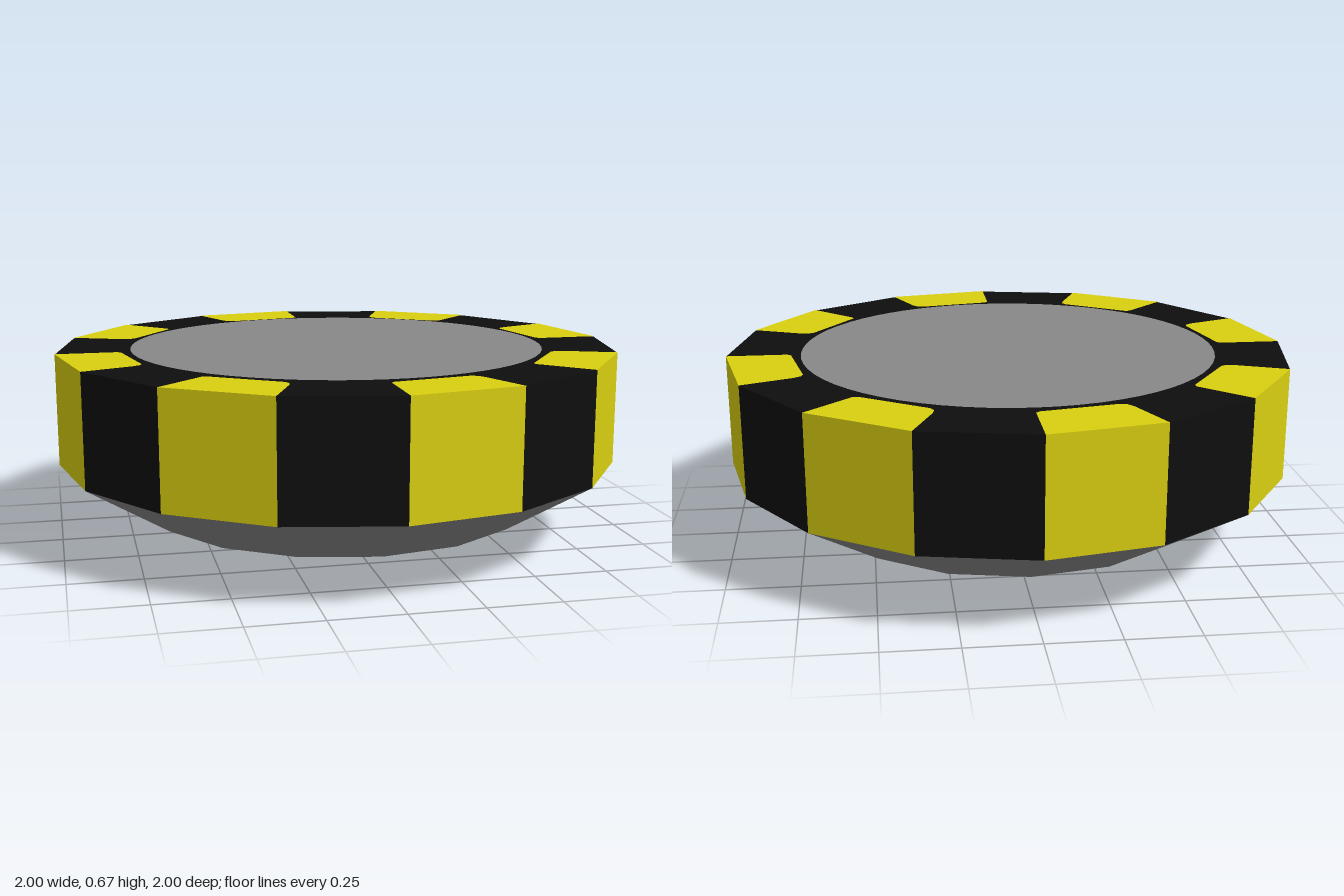
import * as THREE from 'three';

const SIDES = 16;
const STEP = (Math.PI * 2) / SIDES;
const TOP = 0.67, RIM = 0.275, BASE = 0.085;

const mat = (name, color) => {
  const m = new THREE.MeshStandardMaterial({ color });
  m.name = name;
  return m;
};

// Unshares vertices so every facet is flat; face groups are kept
function faceted(geometry) {
  const g = geometry.toNonIndexed();
  g.computeVertexNormals();
  return g;
}

// Flat disc facing up (dir = 1) or down (dir = -1)
function disc(radius, segments, y, dir) {
  const g = new THREE.CircleGeometry(radius, segments);
  g.rotateX(-dir * Math.PI / 2);
  g.translate(0, y, 0);
  return g;
}

// Wedge on the top rim with clipped inner corners
function rimPatch(angle) {
  const at = (r, t) => new THREE.Vector2(r * Math.sin(angle + t * STEP), -r * Math.cos(angle + t * STEP));
  const shape = new THREE.Shape([
    at(1, 0), at(1, 1), at(0.815, 1), at(0.785, 0.98), at(0.77, 0.92), at(0.772, 0.04), at(0.785, 0),
  ]);
  const g = new THREE.ShapeGeometry(shape);
  g.rotateX(-Math.PI / 2);
  g.translate(0, TOP, 0);
  return g;
}

export function createModel() {
  const yellow = mat('warning yellow', 0xd9cf10);
  const black = mat('black', 0x0e0e0e);
  const grey = mat('metal grey', 0x888888);

  const model = new THREE.Group();
  const add = (name, geometry, material, parent = model) => {
    const mesh = new THREE.Mesh(geometry, material);
    mesh.name = name;
    parent.add(mesh);
    return mesh;
  };

  // Striped outer wall, one colour per facet
  const wall = new THREE.CylinderGeometry(1, 1, TOP - RIM, SIDES, 1, true);
  wall.translate(0, (TOP + RIM) / 2, 0);
  wall.clearGroups();
  for (let i = 0; i < SIDES; i++) wall.addGroup(i * 6, 6, i % 2);
  add('stripedWall', faceted(wall), [yellow, black]);

  // Top: black rim, yellow patches that continue the stripes, round plate
  add('topRim', disc(1, SIDES, TOP - 0.002, 1), black);
  const patches = new THREE.Group();
  patches.name = 'rimPatches';
  model.add(patches);
  for (let i = 0; i < SIDES; i += 2) add('rimPatch', rimPatch(i * STEP), yellow, patches);
  add('topPlate', disc(0.738, 64, TOP + 0.002, 1), grey);

  // Tapered underside
  const taper = new THREE.CylinderGeometry(1, 0.695, RIM - BASE, SIDES, 1, true);
  taper.translate(0, (RIM + BASE) / 2, 0);
  add('taperedUnderside', faceted(taper), grey);
  add('baseRing', disc(0.695, SIDES, BASE, -1), black);
  add('basePlate', disc(0.65, 48, BASE - 0.003, -1), grey);

  // Foot
  const foot = new THREE.CylinderGeometry(0.327, 0.327, BASE, SIDES);
  foot.translate(0, BASE / 2, 0);
  add('foot', faceted(foot), grey);

  return model;
}
